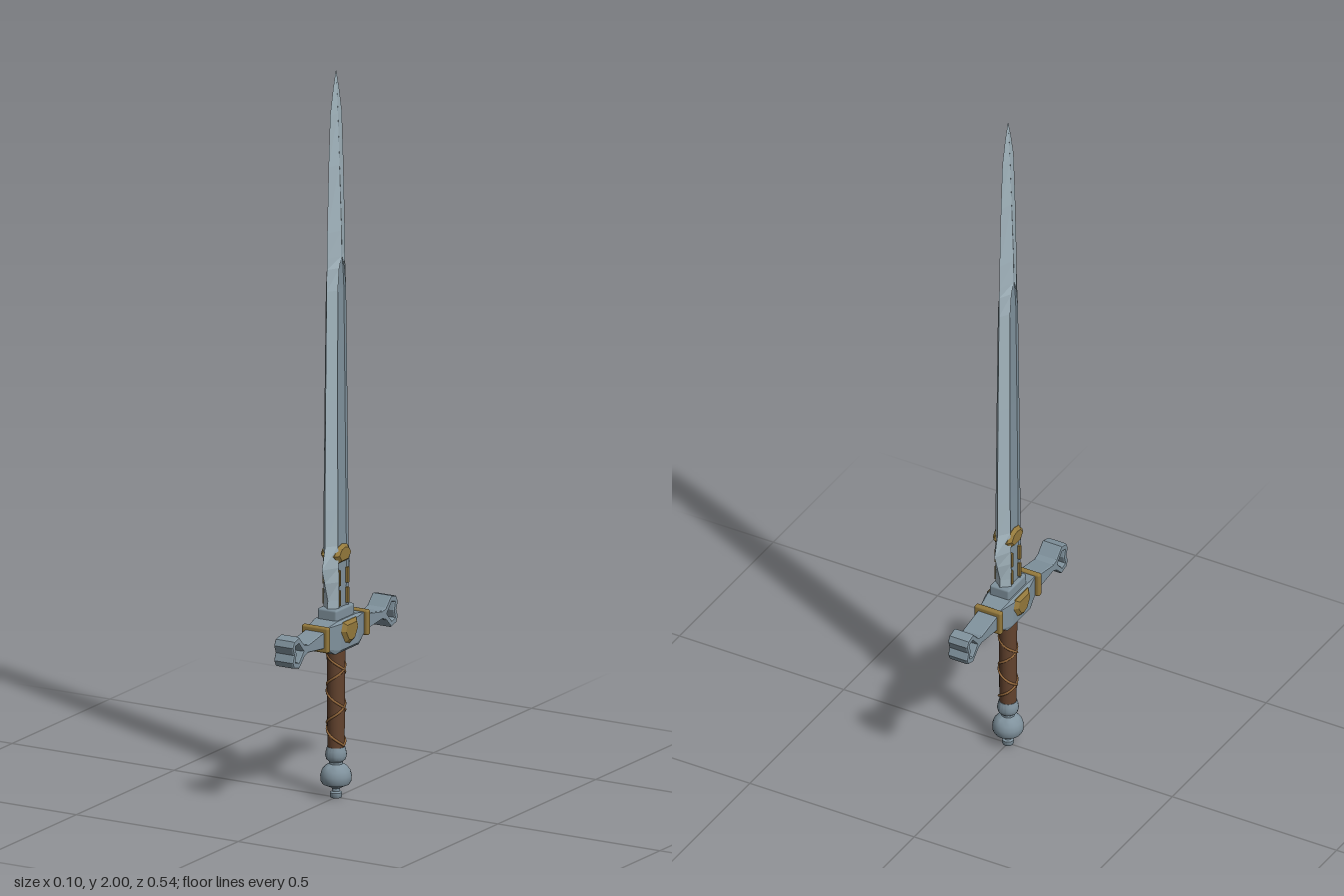
import * as THREE from 'three';
import { toCreasedNormals } from 'three/addons/utils/BufferGeometryUtils.js';
import { ConvexGeometry } from 'three/addons/geometries/ConvexGeometry.js';
import { RoundedBoxGeometry } from 'three/addons/geometries/RoundedBoxGeometry.js';

const paint = (name, color) => Object.assign(new THREE.MeshStandardMaterial({ color }), { name });

export function createModel() {
  const sword = new THREE.Group();
  sword.name = 'sword';
  const bladeSteel = paint('blade steel', 0xa3b5be);
  const darkSteel = paint('guard steel', 0x80929d);
  const gold = paint('gold', 0x94793c);
  const leather = paint('leather', 0x63432e);
  const wireTan = paint('wrap cord', 0x94683c);

  const add = (name, geometry, material, parent = sword) => {
    const mesh = new THREE.Mesh(geometry, material);
    mesh.name = name;
    parent.add(mesh);
    return mesh;
  };

  // Blade stations: height, half width, half thickness, fuller half width
  const stations = [
    [0.48, 0.046, 0.024, 0.024], [0.55, 0.042, 0.024, 0.024], [0.6, 0.058, 0.024, 0.025],
    [0.64, 0.072, 0.024, 0.026], [0.7, 0.056, 0.023, 0.027], [0.8, 0.056, 0.022, 0.027],
    [1.1, 0.053, 0.020, 0.025], [1.4, 0.048, 0.0185, 0.021], [1.46, 0.047, 0.018, 0.013],
    [1.49, 0.0465, 0.018, 0.001], [1.56, 0.045, 0.017, 0.0005], [1.74, 0.038, 0.011, 0.0005],
    [1.88, 0.030, 0.006, 0.0005], [1.95, 0.015, 0.003, 0.0003], [2.0, 0.0003, 0.0002, 0.0001],
  ];
  // Cross-section runs round the blade: edge, bevel, sunken fuller, bevel, edge and back
  const section = ([y, w, t, f]) => {
    const floor = t - Math.min(0.005, f * 0.25);
    const half = [[0, w], [t, f], [floor, f * 0.85], [floor, -f * 0.85], [t, -f]];
    return [...half, ...half.map(([x, z]) => [-x, -z])].map(([x, z]) => new THREE.Vector3(x, y, z));
  };
  const strip = (segments) => {
    const positions = [];
    for (let s = 0; s < stations.length - 1; s++) {
      const low = section(stations[s]);
      const high = section(stations[s + 1]);
      for (const i of segments) {
        const j = (i + 1) % low.length;
        for (const p of [low[i], low[j], high[j], low[i], high[j], high[i]]) positions.push(p.x, p.y, p.z);
      }
    }
    const geometry = new THREE.BufferGeometry();
    geometry.setAttribute('position', new THREE.Float32BufferAttribute(positions, 3));
    geometry.computeVertexNormals();
    return geometry;
  };
  const blade = new THREE.Group();
  blade.name = 'blade';
  sword.add(blade);
  add('bladeBevels', strip([0, 4, 5, 9]), bladeSteel, blade);
  add('bladeFullers', strip([1, 2, 3, 6, 7, 8]), darkSteel, blade);
  add('bladeCollar', new RoundedBoxGeometry(0.06, 0.045, 0.096, 1, 0.006), darkSteel, blade).position.y = 0.505;

  // Guard block, swelling towards the middle
  const blockPoints = [];
  for (const sx of [-1, 1]) for (const sz of [-1, 1]) {
    blockPoints.push(
      new THREE.Vector3(sx * 0.029, 0.432, sz * 0.095), new THREE.Vector3(sx * 0.029, 0.490, sz * 0.095),
      new THREE.Vector3(sx * 0.042, 0.420, sz * 0.045), new THREE.Vector3(sx * 0.042, 0.492, sz * 0.045),
      new THREE.Vector3(sx * 0.034, 0.411, sz * 0.06), new THREE.Vector3(sx * 0.034, 0.499, sz * 0.05));
  }
  add('guardBlock', new ConvexGeometry(blockPoints), darkSteel);

  // Guard arm outline (z, y) with a pierced, flared end
  const toPoints = (list) => list.map(([a, b]) => new THREE.Vector2(a, b));
  const armShape = new THREE.Shape(toPoints([
    [0.09, 0.436], [0.13, 0.440], [0.19, 0.447], [0.208, 0.440], [0.235, 0.414], [0.262, 0.421],
    [0.27, 0.437], [0.262, 0.457], [0.27, 0.478], [0.262, 0.494], [0.235, 0.501], [0.208, 0.474],
    [0.19, 0.469], [0.13, 0.480], [0.09, 0.486],
  ]));
  armShape.holes.push(new THREE.Path(toPoints([
    [0.214, 0.457], [0.238, 0.483], [0.254, 0.479], [0.248, 0.457], [0.254, 0.436], [0.238, 0.431],
  ])));
  const armGeometry = new THREE.ExtrudeGeometry(armShape, {
    depth: 0.052, bevelEnabled: true, bevelThickness: 0.003, bevelSize: 0.002, bevelOffset: -0.002, bevelSegments: 1,
  });
  armGeometry.translate(0, 0, -0.026).rotateY(-Math.PI / 2);
  for (const side of [1, -1]) {
    const arm = new THREE.Group();
    arm.name = side > 0 ? 'frontGuardArm' : 'backGuardArm';
    arm.rotation.y = side > 0 ? 0 : Math.PI;
    sword.add(arm);
    add('armWithRing', armGeometry, darkSteel, arm);
    add('armCollar', new RoundedBoxGeometry(0.082, 0.07, 0.017, 2, 0.006), gold, arm).position.set(0, 0.461, 0.102);
  }

  // Chamfered gold plates on both flat sides
  const plate = (outline, inner, outer, centreY) => {
    const points = [];
    for (const [z, y] of outline) {
      points.push(new THREE.Vector3(inner, y, z), new THREE.Vector3((inner + outer) / 2, y, z));
      points.push(new THREE.Vector3(outer, centreY + (y - centreY) * 0.7, z * 0.7));
    }
    return new ConvexGeometry(points);
  };
  const badge = [[-0.043, 0.470], [-0.034, 0.494], [0.034, 0.494], [0.043, 0.470], [0.022, 0.437], [0, 0.430], [-0.022, 0.437]];
  const crest = [[-0.042, 0.672], [-0.024, 0.694], [0, 0.700], [0.024, 0.694], [0.042, 0.672], [0.024, 0.650], [-0.024, 0.650]];
  for (const side of [1, -1]) {
    const trim = new THREE.Group();
    trim.name = side > 0 ? 'leftGoldTrim' : 'rightGoldTrim';
    trim.rotation.y = side > 0 ? 0 : Math.PI;
    sword.add(trim);
    add('guardBadge', plate(badge, 0.034, 0.050, 0.464), gold, trim);
    add('bladeCrest', plate(crest, 0.010, 0.029, 0.674), gold, trim);
    for (const z of [-0.021, 0.021]) for (const y of [0.555, 0.61]) {
      add('crestRail', new THREE.BoxGeometry(0.008, 0.042, 0.007), gold, trim).position.set(0.0225, y, z);
    }
  }

  // Grip with crossing cords
  const grip = new THREE.Group();
  grip.name = 'grip';
  sword.add(grip);
  add('leatherGrip', new THREE.CylinderGeometry(0.025, 0.023, 0.28, 16), leather, grip).position.y = 0.275;
  for (const turn of [1, -1]) {
    const path = [];
    for (let i = 0; i <= 48; i++) {
      const angle = turn * (i / 48) * Math.PI * 5;
      path.push(new THREE.Vector3(Math.cos(angle) * 0.024, 0.145 + 0.262 * i / 48, Math.sin(angle) * 0.024));
    }
    add('gripCord', new THREE.TubeGeometry(new THREE.CatmullRomCurve3(path), 120, 0.0035, 6), wireTan, grip);
  }

  // Turned pommel with neck ring, bulb and end button
  const pommelProfile = toPoints([
    [0, 0], [0.014, 0], [0.016, 0.004], [0.016, 0.014], [0.011, 0.018], [0.011, 0.026], [0.022, 0.032],
    [0.036, 0.038], [0.041, 0.046], [0.042, 0.062], [0.038, 0.076], [0.029, 0.087], [0.018, 0.093],
    [0.018, 0.099], [0.026, 0.106], [0.029, 0.117], [0.027, 0.130], [0.024, 0.140], [0, 0.140],
  ]);
  add('pommel', toCreasedNormals(new THREE.LatheGeometry(pommelProfile, 20), 0.6), darkSteel);

  return sword;
}
